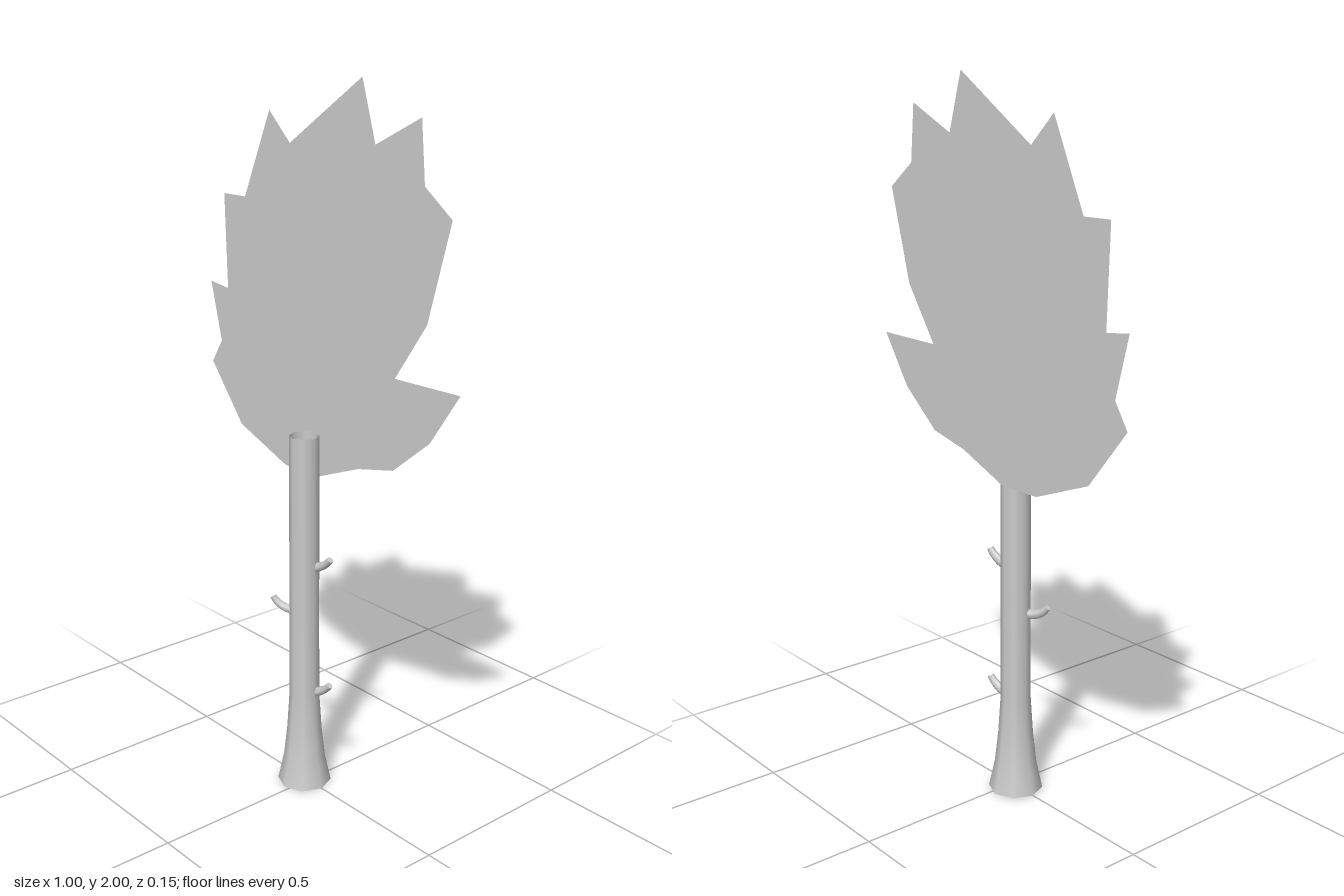
import * as THREE from 'three';

const TRUNK_X = -0.016;

function makeMesh(name, geometry) {
  const material = new THREE.MeshStandardMaterial({ color: 0xcccccc, side: THREE.DoubleSide });
  const mesh = new THREE.Mesh(geometry, material);
  mesh.name = name;
  return mesh;
}

// Short bent twig: a six-sided tube that tapers to a flat tip
function makeTwig(name, points) {
  const curve = new THREE.QuadraticBezierCurve3(...points.map(p => new THREE.Vector3(...p)));
  const rings = 4, sides = 6, rBase = 0.015, rTip = 0.010;
  const tube = new THREE.TubeGeometry(curve, rings, rBase, sides, false);
  const pos = tube.attributes.position, v = new THREE.Vector3();
  for (let i = 0; i < pos.count; i++) {
    const t = Math.floor(i / (sides + 1)) / rings;
    const centre = curve.getPointAt(t);
    v.fromBufferAttribute(pos, i).sub(centre);
    v.multiplyScalar(THREE.MathUtils.lerp(1, rTip / rBase, t)).add(centre);
    pos.setXYZ(i, v.x, v.y, v.z);
  }
  const twig = new THREE.Group();
  twig.name = name;
  const tip = makeMesh(name + 'Tip', new THREE.CircleGeometry(rTip, sides));
  tip.position.copy(curve.getPoint(1));
  tip.quaternion.setFromUnitVectors(new THREE.Vector3(0, 0, 1), curve.getTangent(1));
  twig.add(makeMesh(name + 'Stem', tube), tip);
  return twig;
}

export function createModel() {
  const tree = new THREE.Group();
  tree.name = 'tree';

  // Hollow eight-sided trunk, flared at the foot and open at both ends
  const profile = [
    [0.077, 0], [0.060, 0.08], [0.050, 0.17], [0.043, 0.28], [0.042, 0.6], [0.042, 1.055],
  ].map(p => new THREE.Vector2(...p));
  const trunk = makeMesh('trunk', new THREE.LatheGeometry(profile, 8));
  trunk.position.x = TRUNK_X;
  tree.add(trunk);

  // Flat jagged crown standing behind the trunk
  const outline = [
    [-0.03, 0.92], [0.135, 0.985], [0.27, 1.015], [0.40, 1.12], [0.50, 1.265], [0.27, 1.262],
    [0.38, 1.42], [0.455, 1.685], [0.36, 1.755], [0.345, 1.915], [0.185, 1.84], [0.135, 2.0],
    [-0.145, 1.82], [-0.23, 1.90], [-0.34, 1.66], [-0.435, 1.66], [-0.425, 1.39], [-0.505, 1.40],
    [-0.46, 1.23], [-0.505, 1.16], [-0.37, 0.995], [-0.17, 0.92],
  ].map(p => new THREE.Vector2(...p));
  const crown = makeMesh('crown', new THREE.ShapeGeometry(new THREE.Shape(outline)));
  crown.position.z = -0.06;
  tree.add(crown);

  // Two matching twigs on the left, one on the right
  [['lowerLeftTwig', 0.29], ['upperLeftTwig', 0.675]].forEach(([name, y]) => {
    tree.add(makeTwig(name, [[0.015, y, -0.015], [0.045, y + 0.008, -0.022], [0.065, y + 0.035, -0.025]]));
  });
  tree.add(makeTwig('rightTwig', [[-0.045, 0.535, 0.018], [-0.085, 0.535, 0.034], [-0.102, 0.565, 0.043]]));

  return tree;
}
